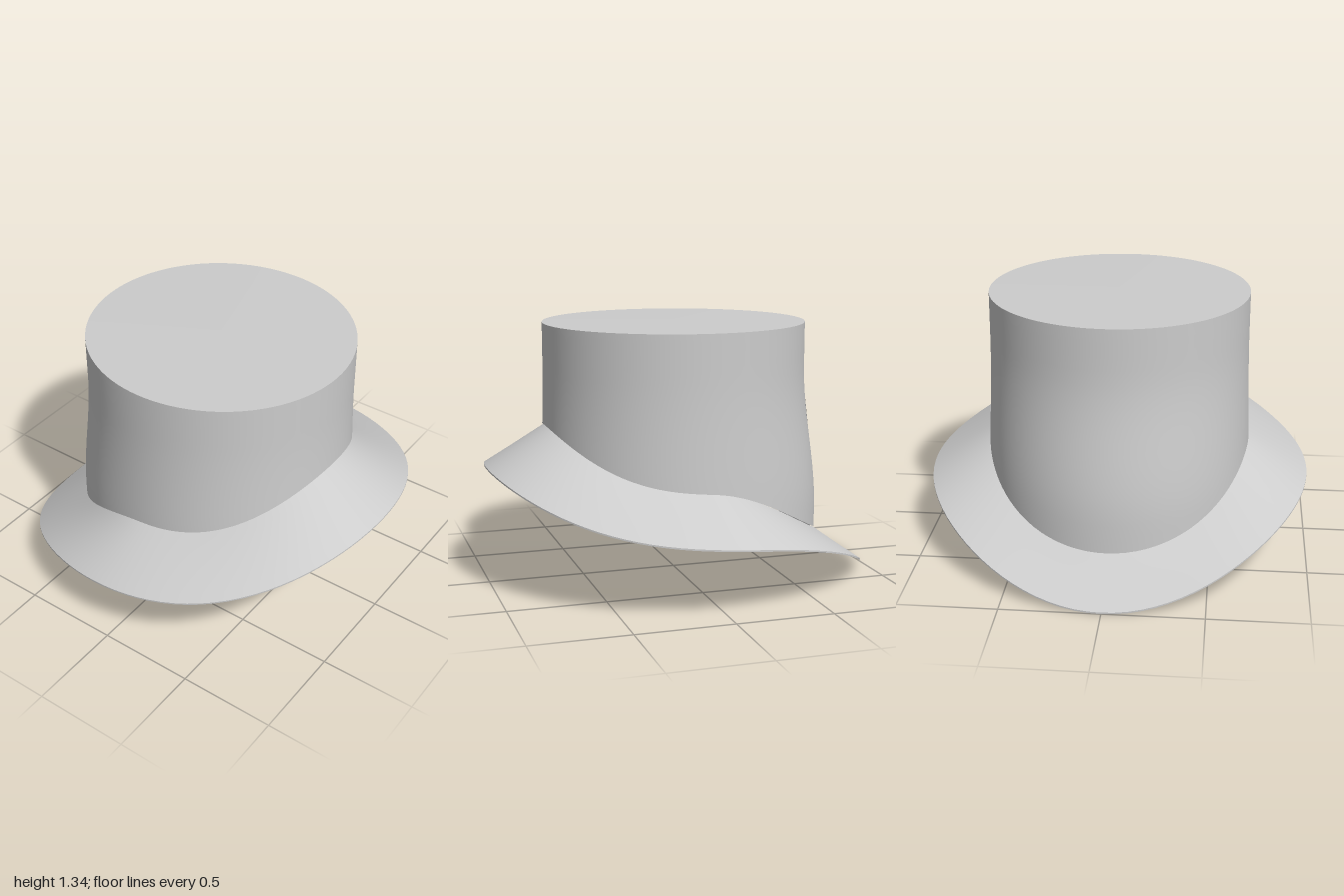
import * as THREE from 'three';

const SEG = 96;
const TOP = 1.33;

// s runs from 1 at the front to -1 at the back
const rimY = s => 0.35 + 0.086 * s - 0.05 * s * s + 0.214 * s ** 3;
const baseY = s => s > 0
  ? 0.55 + 0.065 * s - 0.045 * s * s + 0.24 * s ** 3
  : 0.55 + 0.065 * s - 0.407 * s * s - 0.122 * s ** 3;

// crown radius: nearly straight, flaring low down at the back
function crownR(s, y) {
  const flare = 0.02 + 0.055 * Math.max(0, -s) ** 2;
  return 0.67 + 0.015 * s * s + flare * (1 - THREE.MathUtils.smoothstep(y, 0.35, 1.1));
}

// smooth surface swept round the y axis; profile(s, v) gives [radius, height]
function sweep(name, material, rows, profile) {
  const pos = [], index = [];
  for (let i = 0; i <= rows; i++) {
    for (let j = 0; j < SEG; j++) {
      const a = (j / SEG) * Math.PI * 2;
      const [r, y] = profile(Math.cos(a), i / rows);
      pos.push(r * Math.sin(a), y, r * Math.cos(a));
      if (i === rows) continue;
      const k = (j + 1) % SEG, p = i * SEG, q = p + SEG;
      index.push(p + j, p + k, q + j, p + k, q + k, q + j);
    }
  }
  const geo = new THREE.BufferGeometry();
  geo.setAttribute('position', new THREE.Float32BufferAttribute(pos, 3));
  geo.setIndex(index);
  geo.computeVertexNormals();
  const mesh = new THREE.Mesh(geo, material);
  mesh.name = name;
  return mesh;
}

export function createModel() {
  const hat = new THREE.Group();
  hat.name = 'hat';
  const felt = new THREE.MeshStandardMaterial({ color: 0xcccccc });
  felt.name = 'grey felt';
  const lerp = THREE.MathUtils.lerp;
  const wall = 0.02;

  // inner edge of the opening
  const openR = s => crownR(s, baseY(s)) - wall;
  const openY = s => baseY(s) - 0.025;

  hat.add(
    // brim, thin at the rim and thicker towards the crown
    sweep('brimUnderside', felt, 8, (s, v) =>
      [lerp(openR(s), 1, v), lerp(openY(s), rimY(s), v)]),
    sweep('brimEdge', felt, 1, (s, v) => [1, rimY(s) + 0.008 * v]),
    sweep('brimTop', felt, 8, (s, v) =>
      [lerp(1, crownR(s, baseY(s)) - 0.01, v), lerp(rimY(s) + 0.008, baseY(s), v)]),

    // crown outside and its flat top
    sweep('crownWall', felt, 16, (s, v) => {
      const y = lerp(baseY(s), TOP, v);
      return [crownR(s, y), y];
    }),
    sweep('crownTop', felt, 4, (s, v) => [crownR(s, TOP) * (1 - v), TOP + 0.006 * v]),

    // hollow inside
    sweep('liningTop', felt, 4, (s, v) => [(crownR(s, TOP) - wall) * v, TOP - wall]),
    sweep('liningWall', felt, 16, (s, v) => {
      const y = lerp(TOP - wall, openY(s), v);
      return [lerp(crownR(s, y) - wall, openR(s), v), y];
    })
  );
  return hat;
}
